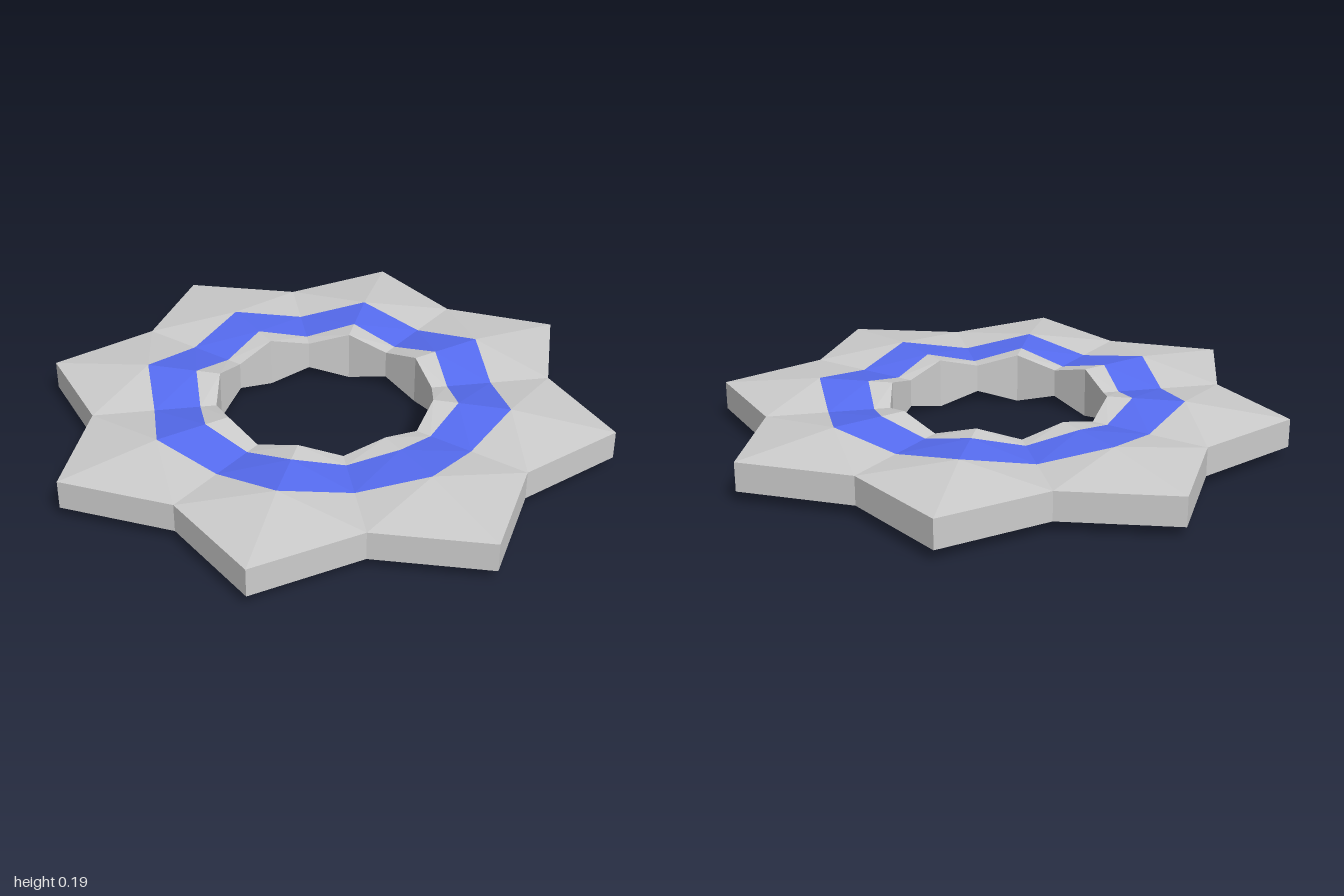
import * as THREE from 'three';

const COUNT = 16; // eight points and eight valleys, alternating
const MID = 0.097; // height of the horizontal mirror plane
const FLAT = 0.054, RAISED = 0.097; // half thickness at valleys and rim / at ridges

// Each ring: radius on a ridge, radius in a valley, half thickness on a ridge
const RINGS = {
  rim: [1.082, 0.868, FLAT],
  bandOuter: [0.699, 0.64, RAISED],
  bandInner: [0.505, 0.47, RAISED],
  hole: [0.411, 0.41, RAISED],
};

// Corner i of a ring, on the upper (side 1) or lower (side -1) face
function corner(ring, i, side) {
  const [ridge, valley, half] = RINGS[ring];
  const isRidge = i % 2 === 0;
  const r = isRidge ? ridge : valley;
  const a = ((i + 1) * Math.PI * 2) / COUNT;
  return [r * Math.cos(a), MID + side * (isRidge ? half : FLAT), r * Math.sin(a)];
}

// Faceted strip between two rings; each quad folds from inner ridge to outer valley
function strip(name, material, [ringA, sideA], [ringB, sideB]) {
  const pos = [];
  for (let i = 0; i < COUNT; i++) {
    const a0 = corner(ringA, i, sideA), a1 = corner(ringA, i + 1, sideA);
    const b0 = corner(ringB, i, sideB), b1 = corner(ringB, i + 1, sideB);
    const fold = (i % 2 === 0) === (sideB > 0);
    const tris = fold ? [a0, b0, a1, a1, b0, b1] : [a0, b0, b1, a0, b1, a1];
    pos.push(...tris.flat());
  }
  const geo = new THREE.BufferGeometry();
  geo.setAttribute('position', new THREE.Float32BufferAttribute(pos, 3));
  geo.computeVertexNormals();
  const mesh = new THREE.Mesh(geo, material);
  mesh.name = name;
  return mesh;
}

export function createModel() {
  const group = new THREE.Group();
  group.name = 'starRing';
  const grey = new THREE.MeshStandardMaterial({ color: 0xcccccc, flatShading: true });
  const blue = new THREE.MeshStandardMaterial({ color: 0x566cf0, flatShading: true });

  // Upright walls around the star and the hole
  group.add(strip('outerWall', grey, ['rim', -1], ['rim', 1]));
  group.add(strip('innerWall', grey, ['hole', 1], ['hole', -1]));

  // Star points, coloured band and hole border, on both faces
  const bands = [
    ['StarPoints', grey, 'rim', 'bandOuter'],
    ['ColouredBand', blue, 'bandOuter', 'bandInner'],
    ['HoleBorder', grey, 'bandInner', 'hole'],
  ];
  for (const [name, material, outer, inner] of bands) {
    group.add(strip('upper' + name, material, [outer, 1], [inner, 1]));
    group.add(strip('lower' + name, material, [inner, -1], [outer, -1]));
  }
  return group;
}
